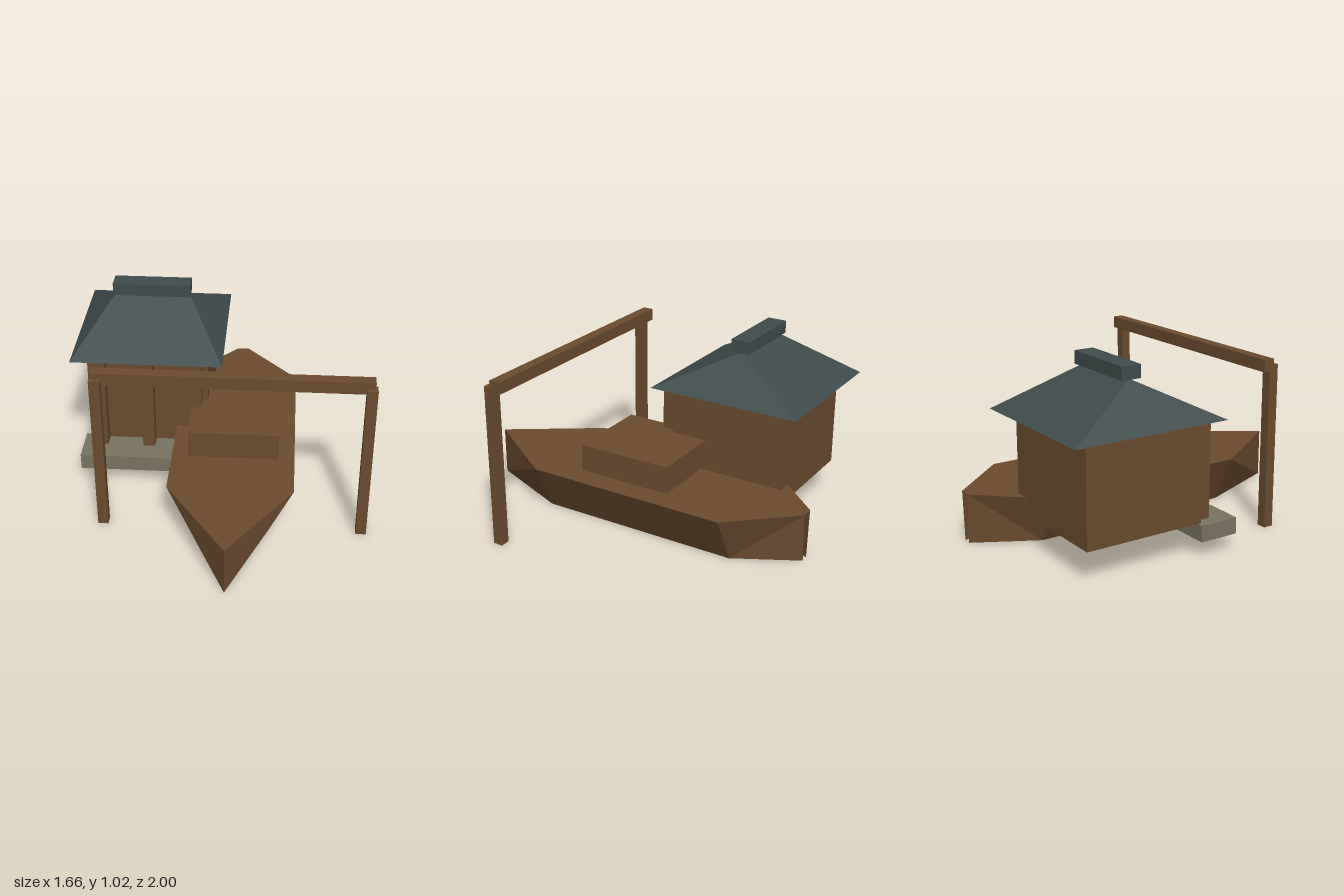
import * as THREE from 'three';

const wood = new THREE.MeshStandardMaterial({ name: 'brown wood', color: 0x6b4b2e, flatShading: true, side: THREE.DoubleSide });
const slate = new THREE.MeshStandardMaterial({ name: 'dark slate', color: 0x3f4b4b, flatShading: true, side: THREE.DoubleSide });
const stone = new THREE.MeshStandardMaterial({ name: 'grey stone', color: 0x78725f, flatShading: true, side: THREE.DoubleSide });

// Box given by its minimum and maximum on each axis
function box(name, material, [x0, x1], [y0, y1], [z0, z1]) {
  const mesh = new THREE.Mesh(new THREE.BoxGeometry(x1 - x0, y1 - y0, z1 - z0), material);
  mesh.position.set((x0 + x1) / 2, (y0 + y1) / 2, (z0 + z1) / 2);
  mesh.name = name;
  return mesh;
}

// Flat-faced shell from named corners and polygons, each split as a fan
function shell(name, material, corners, faces) {
  const positions = [];
  for (const face of faces) {
    const p = face.split(' ').map((key) => corners[key]);
    for (let i = 1; i < p.length - 1; i++) positions.push(...p[0], ...p[i], ...p[i + 1]);
  }
  const geometry = new THREE.BufferGeometry();
  geometry.setAttribute('position', new THREE.Float32BufferAttribute(positions, 3));
  geometry.computeVertexNormals();
  const mesh = new THREE.Mesh(geometry, material);
  mesh.name = name;
  return mesh;
}

function createHouse() {
  const house = new THREE.Group();
  house.name = 'house';
  house.add(box('walls', wood, [-0.75, -0.07], [0.18, 0.73], [-0.77, -0.09]));

  // Porch step, open underneath
  const step = box('porchStep', stone, [-0.785, -0.035], [0.09, 0.18], [-0.11, 0.11]);
  const index = Array.from(step.geometry.index.array);
  index.splice(18, 6);
  step.geometry.setIndex(index);
  step.geometry.clearGroups();
  house.add(step);

  for (const x of [-0.677, -0.406, -0.135])
    house.add(box('porchColumn', wood, [x - 0.034, x + 0.034], [0.18, 0.73], [-0.085, -0.01]));

  // Hipped roof, open below, with a cap along the ridge
  const corners = {
    fl: [0.015, 0.73, 0.005], fr: [-0.83, 0.73, 0.005],
    bl: [0.015, 0.73, -0.875], br: [-0.83, 0.73, -0.875],
    rl: [-0.2, 0.955, -0.435], rr: [-0.615, 0.955, -0.435],
  };
  house.add(shell('roof', slate, corners, ['fr fl rl rr', 'bl br rr rl', 'fl bl rl', 'br fr rr']));
  house.add(box('ridgeCap', slate, [-0.63, -0.19], [0.955, 1.025], [-0.49, -0.38]));
  return house;
}

function createBoat() {
  const boat = new THREE.Group();
  boat.name = 'boat';
  const h = 0.275;
  // Capital-letter keys lie at deck level, small ones on the keel plane
  const corners = {
    B: [0.09, h, 1], b: [0.09, 0, 1],
    L: [0.43, h, 0.5], l: [0.295, 0, 0.5], R: [-0.25, h, 0.5], r: [-0.115, 0, 0.5],
    M: [0.43, h, -0.66], m: [0.295, 0, -0.66], N: [-0.25, h, -0.66], n: [-0.115, 0, -0.66],
    S: [0.125, h, -1], s: [0.11, 0, -1], T: [0.055, h, -1], t: [0.07, 0, -1],
  };
  boat.add(shell('deck', wood, corners, ['B L R', 'L M N R', 'M S T N']));
  boat.add(shell('hull', wood, corners, [
    'b L B', 'b l L', 'b B R', 'b R r',
    'l m M L', 'r R N n',
    'm S M', 'm s S', 'n N T', 'n T t',
    'b r l', 'l r n',
  ]));
  boat.add(box('cabin', wood, [-0.155, 0.34], [0.3, 0.455], [-0.3, 0.245]));
  return boat;
}

function createGate() {
  const gate = new THREE.Group();
  gate.name = 'gate';
  for (const x of [-0.605, 0.8])
    gate.add(box('gatePost', wood, [x - 0.028, x + 0.028], [0, 0.91], [0.436, 0.49]));
  gate.add(box('gateBeam', wood, [-0.633, 0.817], [0.876, 0.943], [0.4, 0.462]));
  return gate;
}

export function createModel() {
  const model = new THREE.Group();
  model.name = 'boathouse';
  model.add(createHouse(), createBoat(), createGate());
  return model;
}
